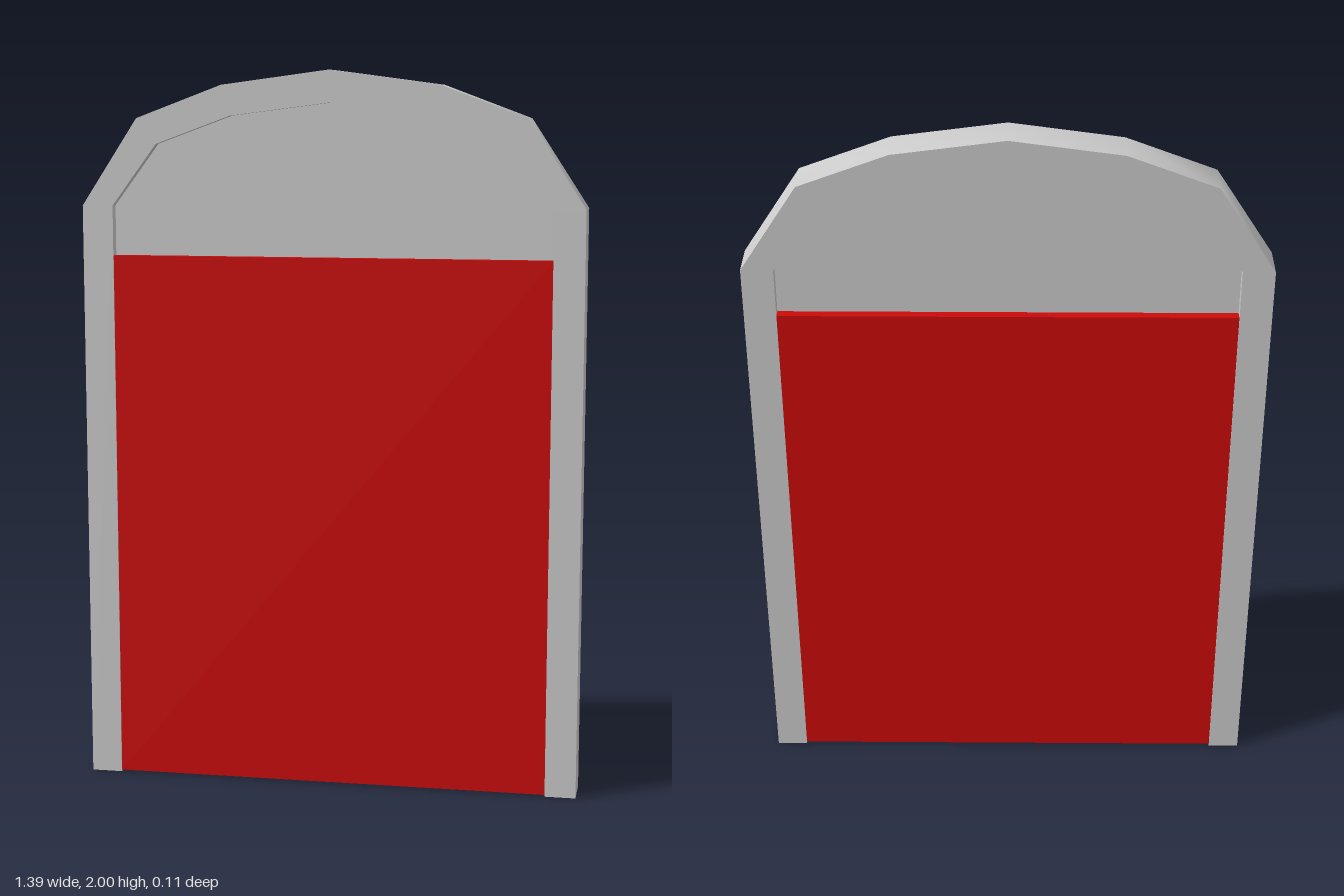
import * as THREE from 'three';
import { toCreasedNormals } from 'three/addons/utils/BufferGeometryUtils.js';

const SPRING = 1.63; // height where the arch begins
const FRAME_DEPTH = 0.11;
const OUTER = [[0.697, SPRING], [0.54, 1.87], [0.3, 1.96], [0, 2]];
const INNER = [[0.611, SPRING], [0.485, 1.8], [0.275, 1.877], [0, 1.912]];

// Full arch line from its left half, running from +x to -x
const arch = (half) => [
  ...half,
  ...half.slice(0, -1).reverse().map(([x, y]) => [-x, y]),
].map(([x, y]) => new THREE.Vector2(x, y));

function extrude(points, depth) {
  const geometry = new THREE.ExtrudeGeometry(new THREE.Shape(points), { depth, bevelEnabled: false });
  geometry.translate(0, 0, -depth / 2);
  return toCreasedNormals(geometry, 0.75);
}

export function createModel() {
  const group = new THREE.Group();
  const grey = new THREE.MeshStandardMaterial({ color: 0xcccccc });
  const red = new THREE.MeshStandardMaterial({ color: 0xcc0a0a });

  const add = (name, geometry, material) => {
    const mesh = new THREE.Mesh(geometry, material);
    mesh.name = name;
    group.add(mesh);
    return mesh;
  };

  // Upright posts of the frame
  const postWidth = OUTER[0][0] - INNER[0][0];
  for (const side of [1, -1]) {
    const post = add(side > 0 ? 'leftPost' : 'rightPost',
      new THREE.BoxGeometry(postWidth, SPRING, FRAME_DEPTH), grey);
    post.position.set(side * (INNER[0][0] + postWidth / 2), SPRING / 2, 0);
  }

  // Faceted arch joining the posts
  add('frameArch', extrude([...arch(OUTER), ...arch(INNER).reverse()], FRAME_DEPTH), grey);

  // Lower door panel, nearly flush with the frame
  const panelTop = 1.492;
  const halfWidth = INNER[0][0];
  const panel = add('doorPanel', new THREE.BoxGeometry(halfWidth * 2, panelTop - 0.004, 0.104), red);
  panel.position.y = (panelTop + 0.004) / 2;

  // Recessed infill between the door panel and the arch
  const base = [new THREE.Vector2(-halfWidth, panelTop), new THREE.Vector2(halfWidth, panelTop)];
  add('archInfill', extrude([...base, ...arch(INNER)], 0.052), grey);

  return group;
}
